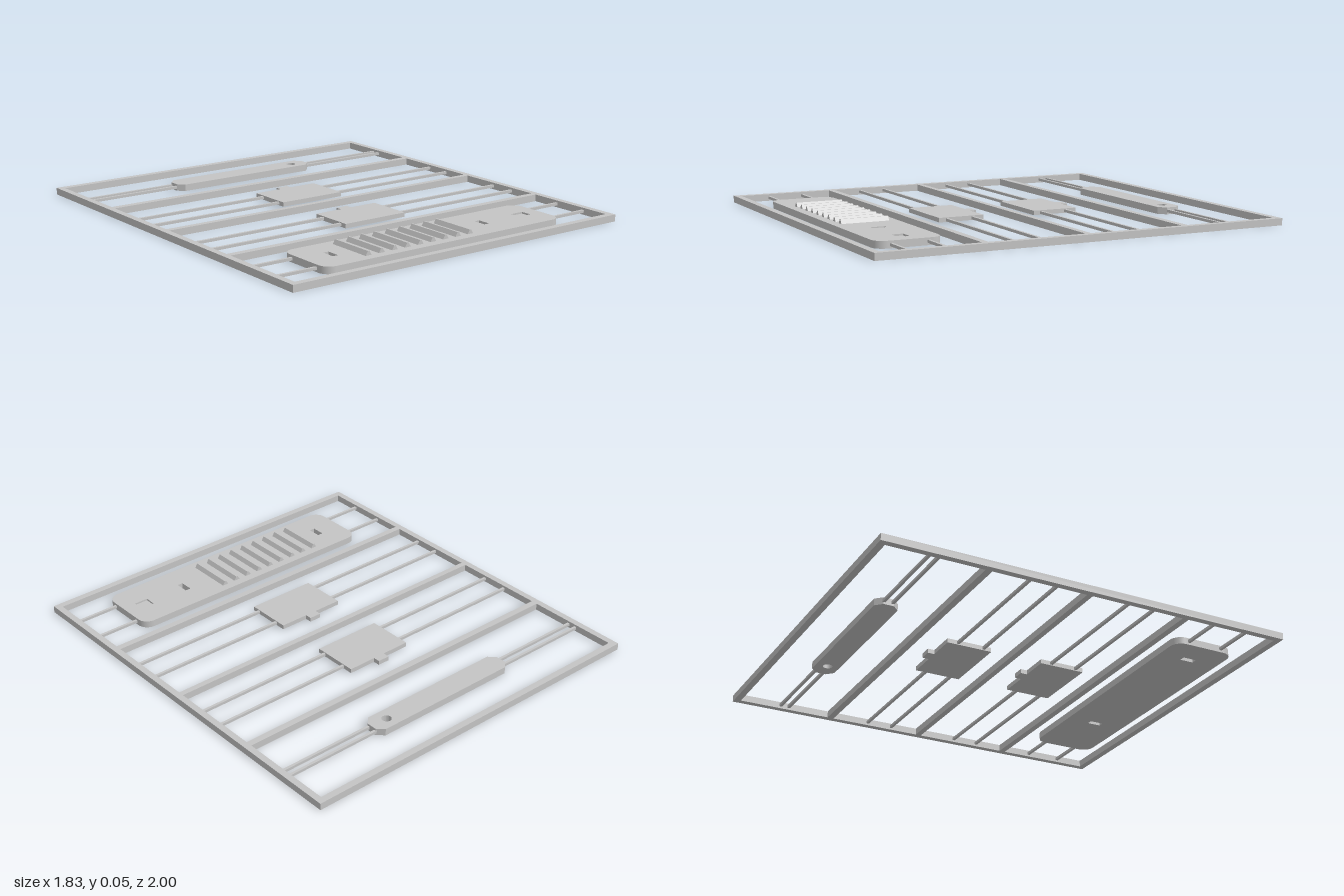
import * as THREE from 'three';

const H = 0.033; // thickness of frame and plates
const grey = new THREE.MeshStandardMaterial({ color: 0xc4c4c4 });
grey.name = 'plain grey';

// Outline from a list of [x, z] points
function outline(points, Type = THREE.Shape) {
  return new Type(points.map(([x, z]) => new THREE.Vector2(x, -z)));
}

// Rectangle outline, counter-clockwise so that openings get inward-facing walls
function rect(x0, x1, z0, z1, Type) {
  return outline([[x0, z1], [x1, z1], [x1, z0], [x0, z0]], Type);
}

// Flat plate from y0 to y1 cut to an outline
function plate(name, shape, y0 = 0, y1 = H) {
  const geo = new THREE.ExtrudeGeometry(shape, { depth: y1 - y0, bevelEnabled: false, curveSegments: 10 });
  geo.rotateX(-Math.PI / 2);
  geo.translate(0, y0, 0);
  const mesh = new THREE.Mesh(geo, grey);
  mesh.name = name;
  return mesh;
}

// Pair of thin rods on both sides, joining a part to the frame
function rods(parent, zs, partEdge) {
  const inner = 0.885;
  for (const z of zs) for (const side of [-1, 1]) {
    const length = inner - partEdge + 0.01;
    const rod = new THREE.Mesh(new THREE.BoxGeometry(length, 0.013, 0.013), grey);
    rod.position.set(side * (inner - length / 2), H / 2, z);
    rod.name = 'connectingRod';
    parent.add(rod);
  }
}

// Long front plate with rounded corners, two slots and a shallow pocket
function basePlateShape(withPocket) {
  const x = 0.67, z0 = 0.58, z1 = 0.893, r = 0.055;
  const s = new THREE.Shape();
  s.absarc(x - r, -z0 - r, r, 0, Math.PI / 2);
  s.absarc(-x + r, -z0 - r, r, Math.PI / 2, Math.PI);
  s.absarc(-x + r, -z1 + r, r, Math.PI, Math.PI * 1.5);
  s.absarc(x - r, -z1 + r, r, Math.PI * 1.5, Math.PI * 2);
  for (const sx of [-0.53, 0.325]) s.holes.push(rect(sx - 0.014, sx + 0.014, 0.703, 0.77, THREE.Path));
  if (withPocket) s.holes.push(rect(0.53, 0.6, 0.708, 0.763, THREE.Path));
  return s;
}

export function createModel() {
  const model = new THREE.Group();
  model.name = 'partsFrame';

  // Frame with four openings
  const frame = rect(-0.913, 0.913, -1, 1);
  for (const [z0, z1] of [[-0.968, -0.508], [-0.476, -0.016], [0.012, 0.475], [0.506, 0.968]]) {
    frame.holes.push(rect(-0.882, 0.882, z0, z1, THREE.Path));
  }
  model.add(plate('frame', frame));

  // Slim bar with cut corners and a round hole
  const c = 0.032, b0 = -0.794, b1 = -0.68;
  const bar = outline([
    [-0.4, b1 - c], [-0.4 + c, b1], [0.4 - c, b1], [0.4, b1 - c],
    [0.4, b0 + c], [0.4 - c, b0], [-0.4 + c, b0], [-0.4, b0 + c],
  ]);
  const hole = new THREE.Path();
  hole.absarc(0.312, 0.737, 0.023, 0, Math.PI * 2);
  bar.holes.push(hole);
  model.add(plate('slimBar', bar));
  rods(model, [-0.76, -0.718], 0.4);

  // Two thinner plates with a small tab at the back
  for (const z of [-0.342, 0.148]) {
    model.add(plate('tabbedPlate', outline([
      [-0.172, z], [-0.03, z], [-0.03, z - 0.033], [0.03, z - 0.033], [0.03, z],
      [0.172, z], [0.172, z + 0.225], [-0.172, z + 0.225],
    ]), 0.006, 0.027));
    rods(model, [z + 0.055, z + 0.185], 0.172);
  }

  // Base plate in two layers, the upper one open over the shallow pocket
  const base = new THREE.Group();
  base.name = 'basePlate';
  base.add(plate('basePlateLower', basePlateShape(false), 0, 0.025));
  base.add(plate('basePlateUpper', basePlateShape(true), 0.025, H));
  rods(model, [0.65, 0.823], 0.67);

  // Row of grip ridges
  const profile = new THREE.Shape([[-0.016, 0], [0.016, 0], [0.004, 0.02], [-0.004, 0.02]]
    .map(([x, y]) => new THREE.Vector2(x, y)));
  const ridgeGeo = new THREE.ExtrudeGeometry(profile, { depth: 0.23, bevelEnabled: false });
  for (let i = 0; i < 9; i++) {
    const ridge = new THREE.Mesh(ridgeGeo, grey);
    ridge.position.set(-0.415 + i * 0.0713, H, 0.62);
    ridge.name = 'gripRidge';
    base.add(ridge);
  }
  model.add(base);
  return model;
}
